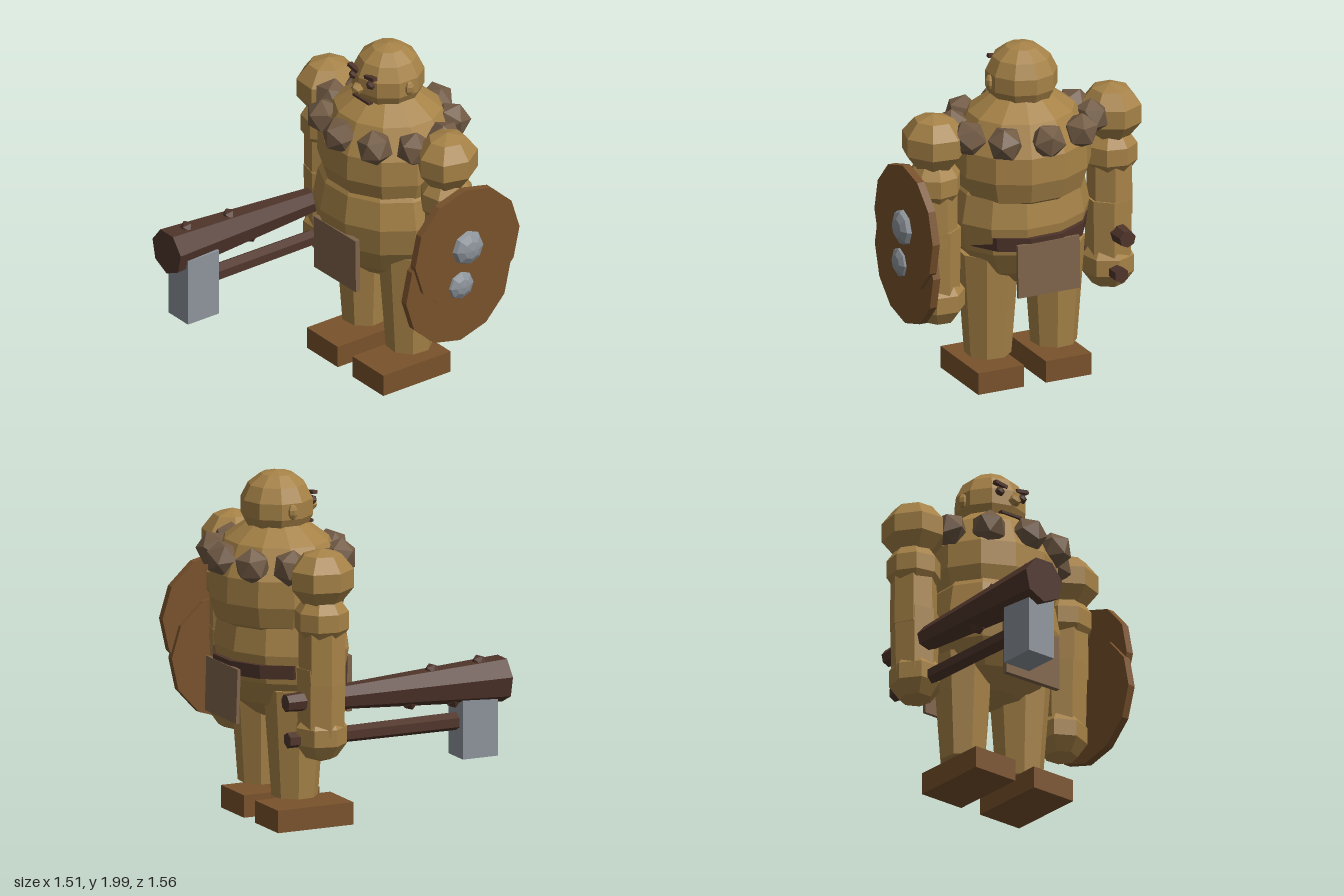
import * as THREE from 'three';

const mat = (name, color) => {
  const m = new THREE.MeshStandardMaterial({ color, flatShading: true });
  m.name = name;
  return m;
};

export function createModel() {
  const skin = mat('skin', 0xa68247);
  const wood = mat('shield wood', 0x79522c);
  const dark = mat('dark wood', 0x50352b);
  const stone = mat('collar stone', 0x725b45);
  const cloth = mat('cloth', 0x7f644b);
  const steel = mat('steel', 0x8d949b);
  const model = new THREE.Group();
  model.name = 'ogre';
  const CX = -0.03, CZ = -0.36; // body axis

  const add = (name, geo, material, x, y, z, rot = [0, 0, 0], scale = [1, 1, 1]) => {
    const mesh = new THREE.Mesh(geo, material);
    mesh.name = name;
    mesh.position.set(x, y, z);
    mesh.rotation.set(...rot);
    mesh.scale.set(...scale);
    model.add(mesh);
    return mesh;
  };
  const ball = (r, w = 8, h = 6) => new THREE.SphereGeometry(r, w, h);
  const rod = (top, bottom, len, n = 8) => new THREE.CylinderGeometry(top, bottom, len, n);
  const box = (w, h, d) => new THREE.BoxGeometry(w, h, d);

  // Torso: barrel chest, forward belly, belt showing at the back
  const chest = [[0, 1.05], [0.22, 1.08], [0.37, 1.17], [0.41, 1.29], [0.405, 1.44], [0.315, 1.615], [0.18, 1.71], [0, 1.74]];
  add('chest', new THREE.LatheGeometry(chest.map(p => new THREE.Vector2(...p)), 12), skin,
    CX, 0, CZ, [0, Math.PI / 12, 0], [1, 1, 0.91]);
  add('belly', ball(0.43, 12, 8), skin, CX, 1.012, -0.332, [0, Math.PI / 12, 0], [0.98, 1, 0.83]);
  add('belt', rod(0.39, 0.38, 0.08, 12), dark, CX, 0.92, CZ, [0, Math.PI / 12, 0], [1, 1, 0.9]);
  add('frontCloth', box(0.385, 0.32, 0.03), cloth, CX, 0.78, -0.003, [0, 0, 0.015]);
  add('backCloth', box(0.385, 0.31, 0.02), cloth, CX, 0.775, -0.697, [0.03, 0, 0]);

  // Collar of rough stones
  for (let i = 0; i < 10; i++) {
    const a = i * Math.PI / 5;
    add('collarStone', new THREE.IcosahedronGeometry(0.106, 0), stone,
      CX + 0.4 * Math.sin(a), 1.525, CZ + 0.335 * Math.cos(a), [i * 1.3, i * 0.7, i * 2.1]);
  }

  // Head and face
  add('head', ball(0.205, 10, 7), skin, CX, 1.797, CZ, [0, 0.3, 0], [1.02, 1, 1.02]);
  add('nose', new THREE.IcosahedronGeometry(0.037, 0), skin, CX, 1.78, -0.145);
  add('mouth', box(0.15, 0.015, 0.03), dark, CX, 1.703, -0.183);
  for (const s of [-1, 1]) {
    add('ear', ball(0.045, 6, 5), skin, CX + s * 0.195, 1.795, CZ, [0, 0, 0], [0.65, 1, 0.65]);
    add('eye', new THREE.IcosahedronGeometry(0.029, 0), dark, CX + s * 0.08, 1.825, -0.18);
    add('eyebrow', box(0.085, 0.02, 0.03), dark, CX + s * 0.076, 1.868, -0.18, [0, 0, s * 0.16]);
  }

  // Legs and block feet
  for (const s of [-1, 1]) {
    add('leg', rod(0.178, 0.132, 0.62, 8), skin, CX + s * 0.205, 0.493, -0.352, [0, s * 0.3, 0]);
    add('foot', box(0.285, 0.128, 0.47), wood, CX + s * 0.21, 0.074, -0.295);
  }

  // Arms, hanging straight down
  for (const [x, handX, handY, turn] of [[-0.585, -0.57, 0.6, 0.2], [0.515, 0.485, 0.56, 0.6]]) {
    add('shoulder', ball(0.18, 7, 5), skin, x, 1.495, CZ, [0, turn, 0], [1, 0.95, 1.08]);
    add('upperArm', ball(0.16, 8, 5), skin, x, 1.26, CZ, [0, turn, 0]);
    add('elbow', rod(0.132, 0.135, 0.3, 7), skin, x, 1.05, CZ, [0, turn, 0]);
    add('forearm', rod(0.14, 0.132, 0.38, 7), skin, (x + handX) / 2, 0.8, CZ, [0, turn, 0]);
    add('hand', ball(0.156, 7, 5), skin, handX, handY, CZ, [0, turn, 0]);
  }

  // Studded club in the right hand
  const clubX = -0.58, clubY = 0.802;
  add('club', rod(0.134, 0.05, 1.355, 7), dark, clubX, clubY, 0.092, [Math.PI / 2, 0, 0]);
  for (const [z, s] of [[0.33, 1], [0.625, 1], [0.19, -1], [0.46, -1]]) {
    const r = 0.065 + 0.062 * z;
    add('clubStud', new THREE.IcosahedronGeometry(0.047, 0), dark, clubX, clubY + s * r, z, [0, 0.3, 0]);
  }

  // Hammer carried below the club
  add('hammerHandle', rod(0.052, 0.045, 1.12, 6), dark, -0.555, 0.58, 0.0, [Math.PI / 2, 0, 0]);
  add('hammerHead', box(0.18, 0.4, 0.218), steel, -0.55, 0.576, 0.602);

  // Two overlapping round shields on the left arm
  for (const [x, y, z, bossX, bossR] of [[0.68, 1.02, -0.36, 0.698, 0.107], [0.655, 0.795, -0.315, 0.688, 0.092]]) {
    add('shield', rod(0.364, 0.364, 0.045, 12), wood, x, y, z, [0.04, 0, Math.PI / 2]);
    add('shieldBoss', ball(bossR, 8, 6), steel, bossX, y, z, [0, 0, Math.PI / 2], [1, 0.55, 1]);
  }

  return model;
}
